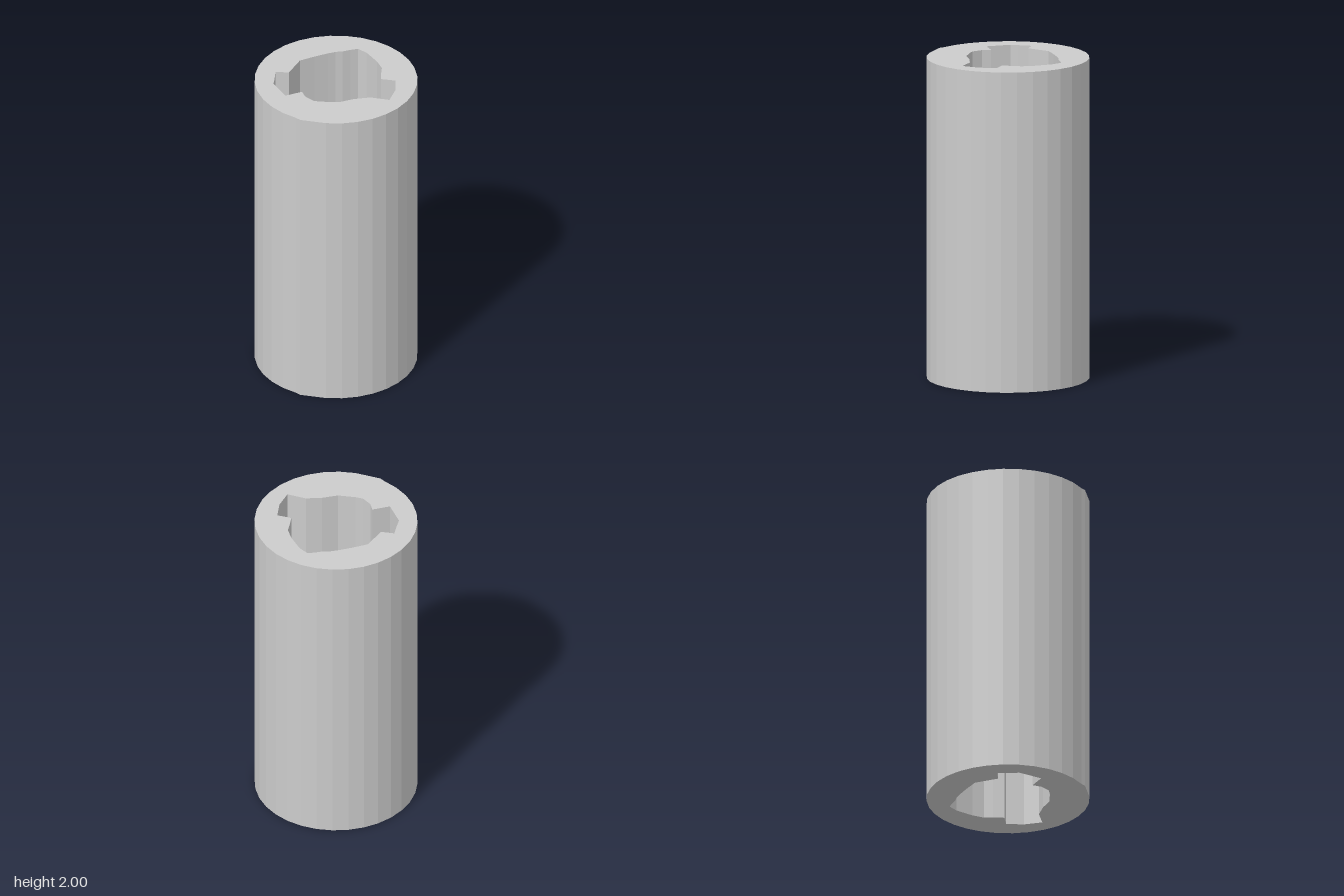
import * as THREE from 'three';

const HEIGHT = 2, RADIUS = 0.5, SIDES = 32;

// Irregular keyed bore, as [x, z] corners seen from above
const BORE = [
  [-0.10, -0.293], [0, -0.293], [0.09, -0.288], [0.14, -0.282], [0.18, -0.268], [0.23, -0.262],
  [0.277, -0.252], [0.305, -0.188], [0.317, -0.068], [0.31, 0.01], [0.28, 0.059],
  [0.248, 0.119], [0.32, 0.174], [0.27, 0.272], [0.188, 0.354],
  [0.097, 0.276], [0, 0.248], [-0.10, 0.237], [-0.195, 0.183], [-0.232, 0.154],
  [-0.255, 0.086], [-0.248, 0.03], [-0.36, 0.024], [-0.363, -0.131],
  [-0.335, -0.173], [-0.292, -0.244], [-0.221, -0.202],
];

// Shape y becomes -z once the extrusion is stood upright
const toShapePoints = (points) => points.map(([x, z]) => new THREE.Vector2(x, -z));

export function createModel() {
  const group = new THREE.Group();
  group.name = 'keyedTube';

  // Faceted round outline with one corner flattened, wound so the bore walls face inwards
  const outline = [];
  for (let i = 0; i < SIDES; i++) {
    const a = (-i / SIDES) * Math.PI * 2;
    outline.push(i === 20 ? [-0.402, 0.312] : [RADIUS * Math.cos(a), RADIUS * Math.sin(a)]);
  }

  // Tube wall: outline minus bore, extruded to full height
  const shape = new THREE.Shape(toShapePoints(outline));
  shape.holes.push(new THREE.Path(toShapePoints(BORE)));
  const geometry = new THREE.ExtrudeGeometry(shape, { depth: HEIGHT, bevelEnabled: false });
  geometry.rotateX(-Math.PI / 2);

  const material = new THREE.MeshStandardMaterial({ color: 0xcccccc, flatShading: true });
  const tube = new THREE.Mesh(geometry, material);
  tube.name = 'tubeBody';
  group.add(tube);
  return group;
}
